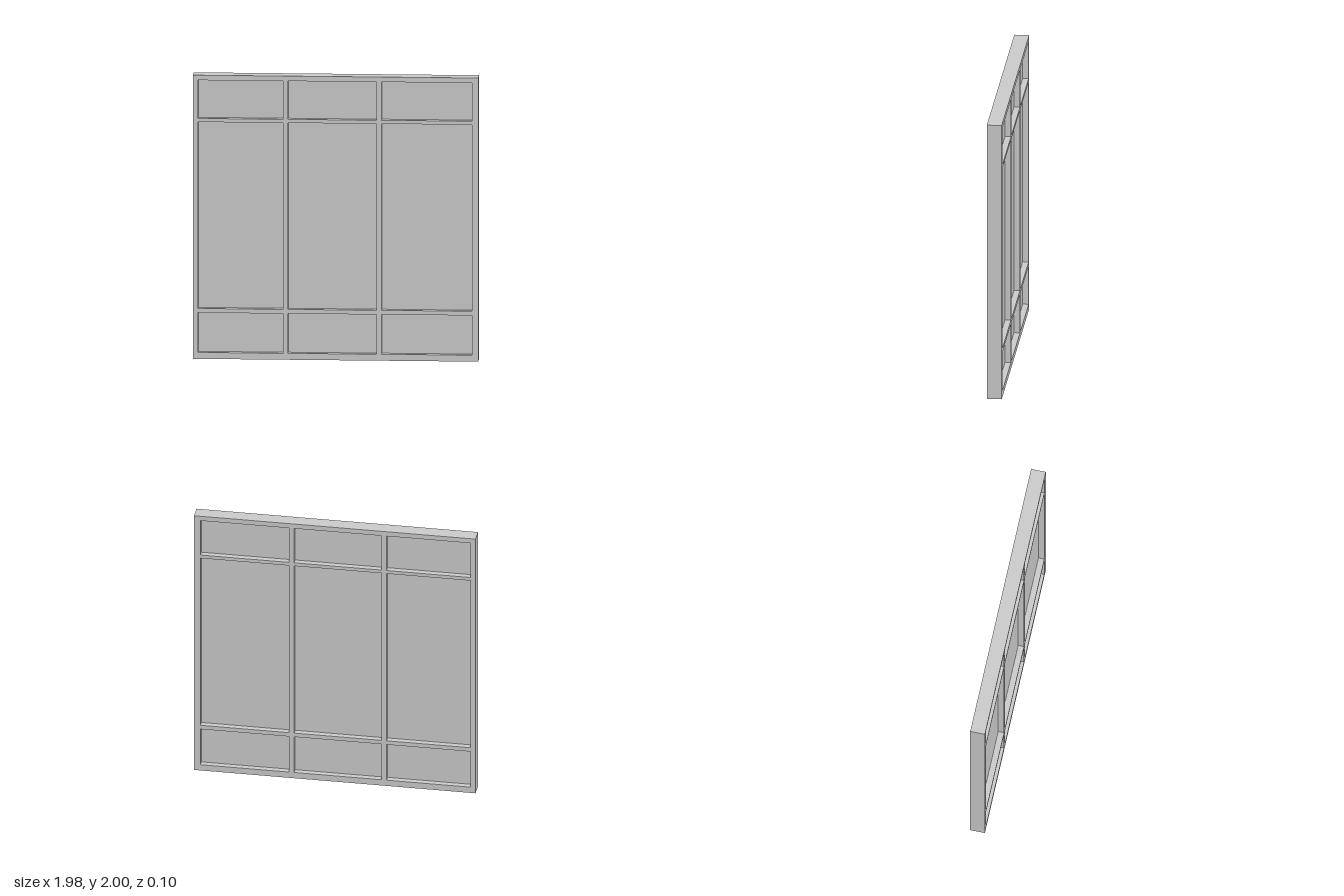
import * as THREE from 'three';

export function createModel() {
  const group = new THREE.Group();
  const material = new THREE.MeshStandardMaterial({ color: 0xcccccc, flatShading: true });
  const W = 0.99, H = 2, DEPTH = 0.104, PANE = 0.02;

  // openings: [start, end] of each column and row
  const columns = [[-0.955, -0.365], [-0.33, 0.285], [0.32, 0.945]];
  const rows = [[0.045, 0.325], [0.355, 1.67], [1.695, 1.965]];

  const rect = (T, x0, y0, x1, y1) => new T([
    new THREE.Vector2(x0, y0), new THREE.Vector2(x1, y0),
    new THREE.Vector2(x1, y1), new THREE.Vector2(x0, y1),
  ]);

  // frame with mullions and transoms, cut from one slab
  const outline = rect(THREE.Shape, -W, 0, W, H);
  for (const [x0, x1] of columns)
    for (const [y0, y1] of rows) outline.holes.push(rect(THREE.Path, x0, y0, x1, y1));
  const frameGeometry = new THREE.ExtrudeGeometry(outline, { depth: DEPTH, bevelEnabled: false });
  frameGeometry.translate(0, 0, -DEPTH / 2);
  const frame = new THREE.Mesh(frameGeometry, material);
  frame.name = 'windowFrame';
  group.add(frame);

  // thin panes, recessed equally on both sides
  const panes = new THREE.Group();
  panes.name = 'panes';
  columns.forEach(([x0, x1], c) => rows.forEach(([y0, y1], r) => {
    const pane = new THREE.Mesh(new THREE.BoxGeometry(x1 - x0, y1 - y0, PANE), material);
    pane.position.set((x0 + x1) / 2, (y0 + y1) / 2, 0);
    pane.name = `pane column ${c + 1} row ${r + 1}`;
    panes.add(pane);
  }));
  group.add(panes);
  return group;
}
